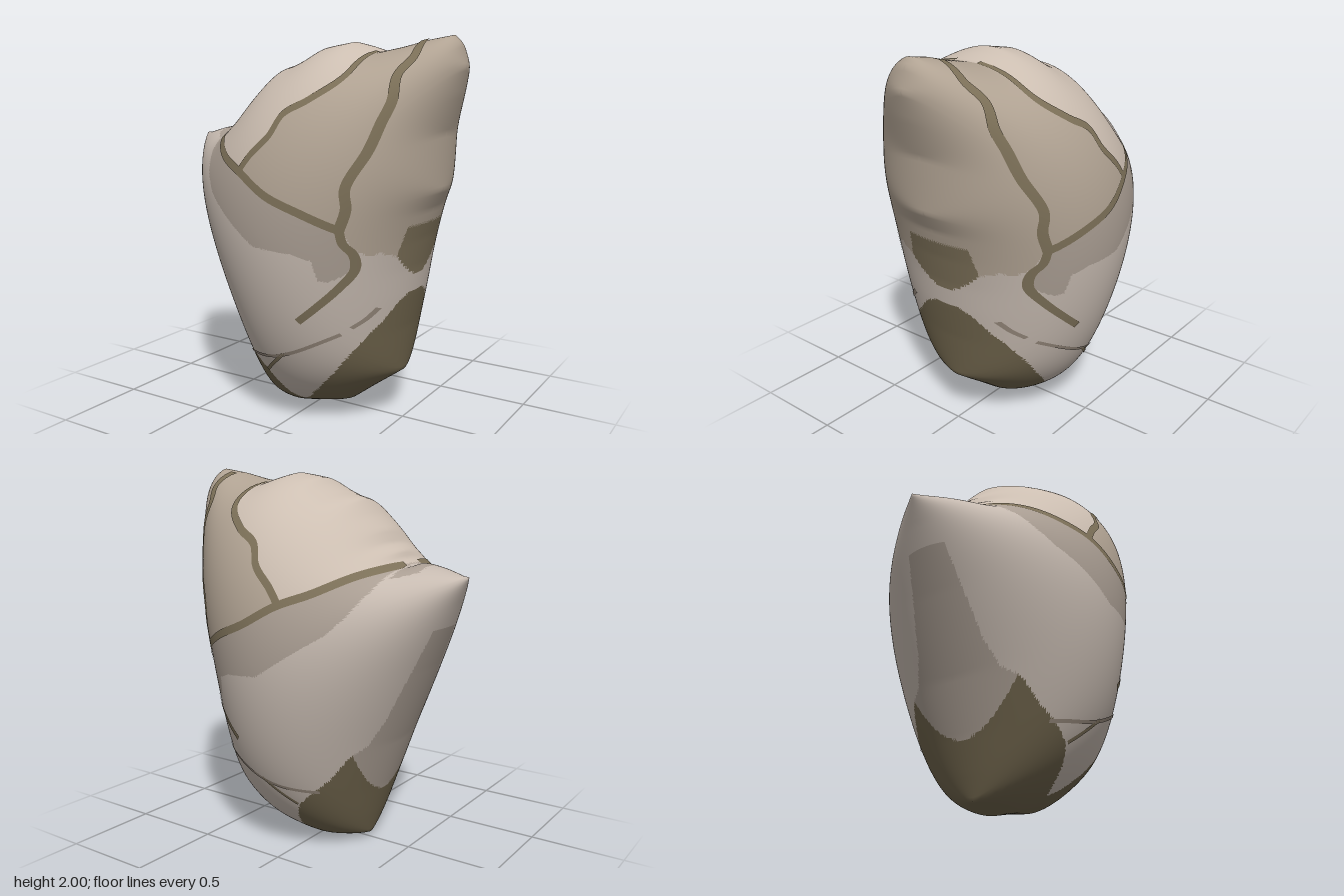
import * as THREE from 'three';

const mat = (name, color) => Object.assign(new THREE.MeshStandardMaterial({ color }), { name });
const paints = {
  dome: mat('pale beige', 0xcdbfb2),
  flank: mat('light stone', 0xc6bab0),
  shoulder: mat('warm stone', 0xb1a393),
  band: mat('dull stone', 0xaa9e93),
  moss: mat('dark olive', 0x6e634b),
  crack: mat('olive brown', 0x7c7058),
  scratch: mat('grey brown', 0x94877a),
};

// Outline in the xy plane, anticlockwise, star-shaped about CENTRE
const CENTRE = [0.03, 1.05];
const OUTLINE = [
  [-0.805, 1.475], [-0.76, 1.48], [-0.65, 1.51], [-0.55, 1.53], [-0.51, 1.515], [-0.46, 1.55], [-0.44, 1.59],
  [-0.38, 1.62], [-0.34, 1.69], [-0.27, 1.76], [-0.2, 1.845], [-0.09, 1.87], [0, 1.91], [0.05, 1.95], [0.2, 1.975],
  [0.28, 1.955], [0.37, 1.925], [0.5, 1.95], [0.62, 1.98], [0.74, 2], [0.775, 1.96], [0.805, 1.85], [0.77, 1.72],
  [0.71, 1.53], [0.7, 1.25], [0.65, 1.15], [0.61, 1], [0.58, 0.85], [0.56, 0.7], [0.53, 0.52], [0.5, 0.27],
  [0.35, 0.16], [0.22, 0.06], [0.1, 0.04], [-0.06, 0], [-0.2, 0.02], [-0.26, 0.03], [-0.3, 0.16], [-0.35, 0.33],
  [-0.44, 0.6], [-0.6, 1], [-0.74, 1.33],
].reverse();

// Crack centre lines
const mainCrack = [[-0.5, 1.53], [-0.4, 1.49], [-0.25, 1.41], [-0.1, 1.35], [0.08, 1.25], [0.25, 1.18], [0.41, 1.1]];
const domeCrack = [[-0.11, 1.35], [-0.05, 1.43], [0.05, 1.53], [0.1, 1.63], [0.22, 1.7], [0.35, 1.81], [0.37, 1.93]];
const lowCrack = [[0.41, 1.1], [0.42, 1.03], [0.45, 0.98], [0.45, 0.9], [0.38, 0.8], [0.28, 0.7], [0.2, 0.63]];
const sideCrack = [[0.41, 1.1], [0.44, 1.2], [0.44, 1.3], [0.52, 1.47], [0.56, 1.6], [0.59, 1.7], [0.59, 1.82], [0.63, 1.9], [0.62, 1.98]];

// Colour patches; the first one holding a point wins
const PATCHES = [
  ['moss', [[0.9, 0.72], [0.56, 0.72], [0.5, 0.6], [0.4, 0.46], [0.3, 0.33], [0.2, 0.23], [0.1, 0.13], [0.03, 0.08],
    [-0.01, 0.12], [-0.04, 0.2], [-0.08, 0.28], [-0.15, 0.35], [-0.25, 0.44], [-0.35, 0.58], [-0.345, 0.3],
    [-0.5, 0.3], [-0.5, -0.1], [0.9, -0.1]]],
  ['crack', [[0.565, 0.94], [0.605, 1.08], [0.7, 1.1], [0.7, 0.8], [0.575, 0.8]]],
  ['band', [[-0.34, 0.28], [-0.345, 0.57], [-0.4, 0.62], [-0.47, 0.75], [-0.68, 1.22], [-0.9, 1.3], [-0.9, 0.28]]],
  ['band', [[-0.6, 1.495], [-0.51, 1.47], [-0.5, 1.6], [-0.6, 1.6]]],
  ['band', [[-0.51, 1.55], [-0.47, 1.42], [-0.4, 1.3], [-0.33, 1.22], [-0.15, 1.1], [0, 1], [0.2, 0.98], [0.29, 0.95],
    [0.31, 0.85], [0.35, 0.84], [0.42, 0.88], [0.45, 0.95], ...[...mainCrack].reverse()]],
  ['dome', [...mainCrack.slice(0, 4), ...domeCrack, [0.38, 2.1], [-0.5, 2.1]]],
  ['shoulder', [...mainCrack.slice(3), [0.45, 1], [0.5, 0.96], [0.53, 0.97], [0.57, 0.93], [0.9, 0.93], [0.9, 2.1],
    [0.38, 2.1], ...[...domeCrack].reverse()]],
];

function inside(poly, x, y) {
  let hit = false;
  poly.forEach(([ax, ay], i) => {
    const [bx, by] = poly[(i + 1) % poly.length];
    if ((ay > y) !== (by > y) && x < ax + (bx - ax) * (y - ay) / (by - ay)) hit = !hit;
  });
  return hit;
}

// Rings of points from the centre out to the outline, and triangles between them
function buildDisc() {
  const rim = [], N = 90;
  OUTLINE.forEach(([ax, ay], i) => {
    const [bx, by] = OUTLINE[(i + 1) % OUTLINE.length];
    const n = Math.ceil(Math.hypot(bx - ax, by - ay) / 0.02);
    for (let k = 0; k < n; k++) rim.push([ax + (bx - ax) * k / n - CENTRE[0], ay + (by - ay) * k / n - CENTRE[1]]);
  });
  const M = rim.length, pts = [[...CENTRE]], tris = [];
  const id = (i, j) => (i === 0 ? 0 : 1 + (i - 1) * M + (j % M));
  for (let i = 1; i <= N; i++) {
    const t = Math.sin((i / N) * Math.PI / 2);
    for (const [x, y] of rim) pts.push([CENTRE[0] + x * t, CENTRE[1] + y * t]);
  }
  for (let i = 0; i < N; i++) for (let j = 0; j < M; j++) {
    tris.push([id(i, j), id(i + 1, j), id(i + 1, j + 1)]);
    if (i) tris.push([id(i, j), id(i + 1, j + 1), id(i, j + 1)]);
  }
  return { rim, N, M, pts, tris, id };
}

// Inflate the outline like a soap film: solve a Poisson equation by conjugate gradients
function inflate({ pts, tris, M }) {
  const n = pts.length, free = n - M, A = [], B = [], W = [];
  const f = () => new Float64Array(n);
  const load = f(), diag = f(), u = f(), r = f(), p = f(), q = f();
  for (const t of tris) {
    const [a, b, c] = t.map((k) => pts[k]);
    const area2 = (b[0] - a[0]) * (c[1] - a[1]) - (b[1] - a[1]) * (c[0] - a[0]);
    for (let k = 0; k < 3; k++) {
      const o = pts[t[k]], i = t[(k + 1) % 3], j = t[(k + 2) % 3];
      const w = ((pts[i][0] - o[0]) * (pts[j][0] - o[0]) + (pts[i][1] - o[1]) * (pts[j][1] - o[1])) / (2 * area2);
      A.push(i); B.push(j); W.push(w);
      diag[i] += w; diag[j] += w;
      load[t[k]] += area2 / 6;
    }
  }
  const ea = Int32Array.from(A), eb = Int32Array.from(B), ew = Float64Array.from(W);
  let rz = 0;
  for (let i = 0; i < free; i++) { r[i] = load[i]; p[i] = r[i] / diag[i]; rz += r[i] * p[i]; }
  const stop = rz * 1e-12;
  for (let it = 0; it < 2500 && rz > stop; it++) {
    q.fill(0);
    for (let e = 0; e < ew.length; e++) {
      const d = ew[e] * (p[ea[e]] - p[eb[e]]);
      q[ea[e]] += d; q[eb[e]] -= d;
    }
    let pq = 0, next = 0;
    for (let i = 0; i < free; i++) pq += p[i] * q[i];
    const step = rz / pq;
    for (let i = 0; i < free; i++) { u[i] += step * p[i]; r[i] -= step * q[i]; next += r[i] * r[i] / diag[i]; }
    for (let i = 0; i < free; i++) p[i] = r[i] / diag[i] + (next / rz) * p[i];
    rz = next;
  }
  const top = u.reduce((m, v) => Math.max(m, v), 0);
  return u.map((v) => Math.max(0, v) * 0.655 ** 2 / top); // squared half thickness
}

export function createModel() {
  const group = new THREE.Group();
  const disc = buildDisc(), { rim, N, M, pts, tris, id } = disc;
  const u = inflate(disc), n = pts.length, free = n - M;

  // Rock body: front and mirrored back share the rim points
  const pos = [];
  pts.forEach(([x, y], i) => pos.push(x, y, Math.sqrt(u[i])));
  for (let i = 0; i < free; i++) pos.push(pts[i][0], pts[i][1], -Math.sqrt(u[i]));
  const back = (i) => (i < free ? i + n : i);
  const faces = {}, all = [];
  for (const [a, b, c] of tris) {
    const x = (pts[a][0] + pts[b][0] + pts[c][0]) / 3, y = (pts[a][1] + pts[b][1] + pts[c][1]) / 3;
    const patch = PATCHES.find(([, poly]) => inside(poly, x, y));
    const six = [a, b, c, back(a), back(c), back(b)];
    (faces[patch ? patch[0] : 'flank'] ??= []).push(...six);
    all.push(...six);
  }
  const body = new THREE.BufferGeometry();
  body.setAttribute('position', new THREE.Float32BufferAttribute(pos, 3));
  body.setIndex(all);
  body.computeVertexNormals();
  for (const [key, index] of Object.entries(faces)) {
    const geo = new THREE.BufferGeometry();
    geo.setAttribute('position', body.attributes.position);
    geo.setAttribute('normal', body.attributes.normal);
    geo.setIndex(index);
    const mesh = new THREE.Mesh(geo, paints[key]);
    mesh.name = key + 'Surface';
    group.add(mesh);
  }

  // Point on the body just above (x, y)
  function onSurface(x, y) {
    const dx = x - CENTRE[0], dy = y - CENTRE[1];
    for (let j = 0; j < M; j++) {
      const [ax, ay] = rim[j], [bx, by] = rim[(j + 1) % M], det = ax * by - ay * bx;
      const s = (dx * by - dy * bx) / det, v = (ax * dy - ay * dx) / det;
      if (s < -1e-9 || v < -1e-9) continue;
      const t = s + v, k = Math.min(1, t), f = v / (t || 1);
      const ring = Math.asin(k) / (Math.PI / 2) * N, i = Math.min(N - 1, Math.floor(ring)), g = ring - i;
      const at = (m) => u[id(m, j)] * (1 - f) + u[id(m, j + 1)] * f;
      const shrink = t > 1 ? 1 / t : 1;
      return [CENTRE[0] + dx * shrink, CENTRE[1] + dy * shrink, Math.sqrt(at(i) * (1 - g) + at(i + 1) * g + 0.005)];
    }
    return [x, y, 0];
  }

  // Thin painted ribbon on both sides of the body
  function ribbon(name, path, width, material) {
    const curve = new THREE.CatmullRomCurve3(path.map(([x, y]) => new THREE.Vector3(x, y, 0)), false, 'centripetal');
    const L = Math.ceil(curve.getLength() / 0.015), K = 3;
    for (const side of [1, -1]) {
      const v = [], index = [];
      for (let i = 0; i <= L; i++) {
        const c = curve.getPointAt(i / L), d = curve.getTangentAt(i / L);
        for (let k = 0; k <= K; k++) {
          const o = (k / K - 0.5) * width;
          const [x, y, z] = onSurface(c.x - d.y * o, c.y + d.x * o);
          v.push(x, y, z * side);
          if (i < L && k < K) {
            const a = i * (K + 1) + k, b = a + K + 1;
            index.push(...(side > 0 ? [a, b, b + 1, a, b + 1, a + 1] : [a, b + 1, b, a, a + 1, b + 1]));
          }
        }
      }
      const geo = new THREE.BufferGeometry();
      geo.setAttribute('position', new THREE.Float32BufferAttribute(v, 3));
      geo.setIndex(index);
      geo.computeVertexNormals();
      const mesh = new THREE.Mesh(geo, material);
      mesh.name = name + (side > 0 ? 'Front' : 'Back');
      group.add(mesh);
    }
  }
  ribbon('mainCrack', mainCrack, 0.04, paints.crack);
  ribbon('domeCrack', domeCrack, 0.036, paints.crack);
  ribbon('lowCrack', lowCrack, 0.035, paints.crack);
  ribbon('sideCrack', sideCrack, 0.042, paints.crack);
  ribbon('mossCrack', [[0.08, 0.43], [0, 0.36], [-0.08, 0.29]], 0.018, paints.crack);
  ribbon('lowScratch', [[-0.2, 0.37], [0, 0.4], [0.12, 0.44], [0.37, 0.56]], 0.018, paints.scratch);
  ribbon('highScratch', [[0.41, 0.59], [0.46, 0.63], [0.5, 0.68]], 0.018, paints.scratch);
  return group;
}
